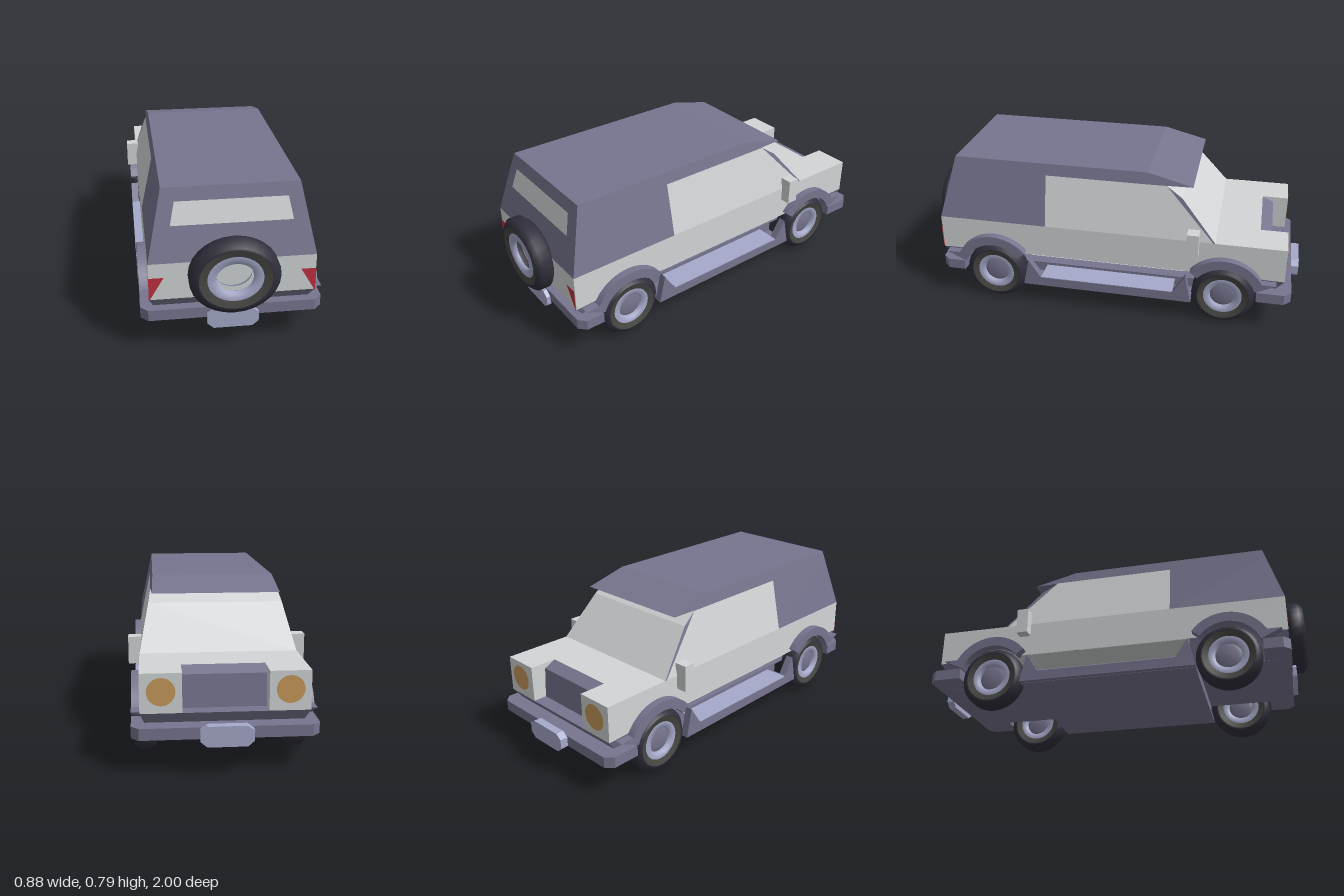
import * as THREE from 'three';

const mat = (name, color) => new THREE.MeshStandardMaterial({ name, color, side: THREE.DoubleSide });

export function createModel() {
  const root = new THREE.Group();
  root.name = 'offRoadVan';
  const pale = mat('paleBody', 0xd2d6d7);
  const trim = mat('slateTrim', 0x77758f);
  const lilac = mat('lilacMetal', 0xa6a9ca);
  const black = mat('tireBlack', 0x302f3c);
  const grey = mat('sidewallGrey', 0x464643);
  const red = mat('tailRed', 0xc03040);
  const amber = mat('lampAmber', 0xc99a5c);

  const add = (name, geo, m, parent = root) => {
    const mesh = new THREE.Mesh(geo, m);
    mesh.name = name;
    parent.add(mesh);
    return mesh;
  };
  // Flat panels from three- or four-cornered faces
  const panels = (name, m, faces) => {
    const pos = [];
    for (const f of faces) {
      for (let i = 1; i < f.length - 1; i++) pos.push(...f[0], ...f[i], ...f[i + 1]);
    }
    const g = new THREE.BufferGeometry();
    g.setAttribute('position', new THREE.Float32BufferAttribute(pos, 3));
    g.computeVertexNormals();
    return add(name, g, m);
  };
  // Strip across the model: rows of [half width, y, z]
  const strip = (name, m, rows) => panels(name, m, rows.slice(1).map(([w, y, z], i) => {
    const [v, b, c] = rows[i];
    return [[-v, b, c], [v, b, c], [w, y, z], [-w, y, z]];
  }));
  const box = (name, m, x0, x1, y0, y1, z0, z1) => add(name,
    new THREE.BoxGeometry(x1 - x0, y1 - y0, z1 - z0)
      .translate((x0 + x1) / 2, (y0 + y1) / 2, (z0 + z1) / 2), m);
  const poly = (pts) => new THREE.Shape(pts.map(([x, y]) => new THREE.Vector2(x, y)));
  const extrude = (shape, depth) =>
    new THREE.ExtrudeGeometry(shape, { depth, bevelEnabled: false, curveSegments: 12 });

  const wallX = (y) => 0.385 - 0.07 * (y - 0.46) / 0.33;
  const rearZ = (y) => 0.91 - 0.09 * (y - 0.46) / 0.33;
  const AZ = 0.615, AY = 0.165;

  // Lower body side with wheel arch cut-outs, drawn in (z, y)
  const side = new THREE.Shape();
  side.moveTo(-0.92, 0.46);
  side.lineTo(0.91, 0.46);
  side.lineTo(0.91, 0.275);
  for (const c of [AZ, -AZ]) side.absarc(c, AY, 0.19, 0.65, Math.PI - 0.65, false);
  side.lineTo(-0.92, 0.275);

  // Arch flare, with a tail that meets the bumper
  const flare = new THREE.Shape();
  flare.moveTo(0.86, 0.22);
  flare.absarc(AZ, AY, 0.17, 0.33, Math.PI - 0.66, false);
  flare.absarc(AZ, AY, 0.22, Math.PI - 0.66, 0.5, true);
  flare.lineTo(0.88, 0.27);

  const sill = poly([[0.453, 0.115], [0.42, 0.265], [0.357, 0.166],
    [-0.357, 0.166], [-0.42, 0.265], [-0.453, 0.115]]);

  for (const s of [1, -1]) {
    const n = s > 0 ? 'left' : 'right';
    const wall = (z, y) => [s * wallX(y), y, z];
    const P = (x, y, z) => [s * x, y, z];
    add(n + 'LowerSide', new THREE.ShapeGeometry(side, 12)
      .rotateY(-Math.PI / 2).translate(s * 0.385, 0, 0), pale);
    // Cabin sides
    panels(n + 'CabinSide', pale,
      [[wall(0.33, 0.46), wall(-0.55, 0.46), wall(-0.30, 0.73), wall(0.33, 0.73)]]);
    panels(n + 'RearQuarter', trim, [
      [wall(0.33, 0.46), wall(0.91, 0.46), wall(rearZ(0.73), 0.73), wall(0.33, 0.73)],
      [wall(rearZ(0.73), 0.73), wall(0.82, 0.79), wall(-0.2, 0.79), wall(-0.2, 0.73)],
      [wall(-0.2, 0.79), P(0.32, 0.73, -0.43), wall(-0.2, 0.73)]]);
    panels(n + 'Pillar', trim,
      [[wall(-0.30, 0.73), wall(-0.38, 0.675), wall(-0.56, 0.46), wall(-0.55, 0.46)]]);
    // Headlight housing and lamp
    panels(n + 'HeadlightHousing', pale, [
      [P(0.195, 0.46, -0.78), P(0.385, 0.46, -0.78), P(0.385, 0.46, -0.92), P(0.195, 0.46, -0.92)],
      [P(0.195, 0.275, -0.92), P(0.385, 0.275, -0.92), P(0.385, 0.46, -0.92), P(0.195, 0.46, -0.92)],
      [P(0.195, 0.275, -0.78), P(0.195, 0.275, -0.92), P(0.195, 0.46, -0.92), P(0.195, 0.46, -0.78)]]);
    add(n + 'Headlight', new THREE.CircleGeometry(0.065, 24)
      .rotateY(Math.PI).translate(s * 0.29, 0.375, -0.924), amber);
    // Lower skirt ends beside the bumpers
    panels(n + 'Skirt', trim, [
      [P(0.385, 0.275, 0.91), P(0.385, 0.275, 0.78), P(0.365, 0.22, 0.78), P(0.365, 0.22, 0.87)],
      [P(0.385, 0.275, -0.92), P(0.385, 0.275, -0.78), P(0.365, 0.22, -0.78), P(0.365, 0.22, -0.88)]]);
    panels(n + 'TailLight', red,
      [[P(0.385, 0.39, 0.914), P(0.315, 0.39, 0.914), P(0.385, 0.27, 0.914)]]);
    // Running board
    add(n + 'Sill', extrude(sill, 0.04).rotateY(-Math.PI / 2)
      .translate(s > 0 ? 0.425 : -0.385, 0, 0), trim);
    const xs = [s * 0.3, s * 0.425].sort((a, b) => a - b);
    box(n + 'RunningBoard', lilac, xs[0], xs[1], 0.164, 0.169, -0.355, 0.355);
    const mx = [s * 0.375, s * 0.44].sort((a, b) => a - b);
    box(n + 'Mirror', pale, mx[0], mx[1], 0.39, 0.525, -0.48, -0.42);
    for (const e of [1, -1]) {
      const f = add(n + (e > 0 ? 'Rear' : 'Front') + 'Flare', extrude(flare, 0.05)
        .rotateY(-Math.PI / 2).translate(s > 0 ? 0.425 : -0.375, 0, 0), trim);
      f.scale.z = e;
    }
  }

  // Roof, windscreen, rear and nose
  strip('roof', trim, [[0.315, 0.79, 0.82], [0.315, 0.79, -0.2], [0.32, 0.73, -0.43], [0.32, 0.73, -0.2]]);
  strip('windscreen', pale, [[0.385, 0.46, -0.56], [wallX(0.675), 0.675, -0.38], [wallX(0.73), 0.73, -0.30]]);
  strip('rearUpper', trim, [[0.385, 0.46, 0.91], [0.315, 0.79, 0.82]]);
  strip('rearWindow', pale, [[0.279, 0.625, rearZ(0.625) + 0.005], [0.257, 0.73, rearZ(0.73) + 0.005]]);
  strip('rearLower', pale, [[0.385, 0.46, 0.91], [0.385, 0.275, 0.91]]);
  strip('hood', pale, [[0.385, 0.46, -0.56], [0.385, 0.46, -0.78]]);
  strip('grille', trim, [[0.195, 0.46, -0.78], [0.195, 0.43, -0.84], [0.195, 0.275, -0.85], [0.195, 0.275, -0.92]]);
  strip('rearSkirt', trim, [[0.385, 0.275, 0.91], [0.365, 0.22, 0.87]]);
  strip('frontSkirt', trim, [[0.385, 0.275, -0.92], [0.365, 0.22, -0.88]]);
  strip('bodyUnderside', pale, [[0.384, 0.277, 0.41], [0.384, 0.277, -0.41]]);

  // Chassis
  box('floorPan', trim, -0.28, 0.28, 0.115, 0.168, -0.45, 0.45);
  box('floorPlate', trim, -0.4, 0.4, 0.113, 0.117, -0.45, 0.45);
  box('chassisPlate', trim, -0.28, 0.28, 0.164, 0.17, -0.9, 0.85);

  // Bumpers with cut corners, and plates
  const bumper = (name, z0, z1) => {
    const c = z1 - Math.sign(z1) * 0.035;
    add(name, extrude(poly([[-0.425, z0], [-0.425, c], [-0.39, z1], [0.39, z1], [0.425, c], [0.425, z0]]), 0.055)
      .rotateX(Math.PI / 2).translate(0, 0.22, 0), trim);
  };
  bumper('rearBumper', 0.785, 0.915);
  bumper('frontBumper', -0.785, -0.96);
  const plate = poly([[-0.12, 0.025], [-0.09, 0.048], [0.09, 0.048], [0.12, 0.025],
    [0.12, -0.022], [0.09, -0.048], [-0.09, -0.048], [-0.12, -0.022]]);
  add('rearPlate', extrude(plate, 0.022).translate(0, 0.163, 0.913), lilac);
  add('frontPlate', extrude(plate, 0.04).translate(0, 0.188, -1), lilac);

  // Wheels, turned around y and then laid over
  const lathe = (pts) => new THREE.LatheGeometry(pts.map(([r, h]) => new THREE.Vector2(r, h)), 28);
  const wheel = (name, withHub) => {
    const g = new THREE.Group();
    g.name = name;
    add('tire', lathe([[0.128, -0.05], [0.14, -0.0525], [0.163, -0.025],
      [0.163, 0.025], [0.14, 0.0525], [0.128, 0.05]]), black, g);
    for (const e of [1, -1]) {
      add('sidewall', lathe([[0.13, e * 0.051], [0.1, e * 0.042]]), grey, g);
      add('rim', lathe([[0.1, e * 0.042], [0.07, e * 0.044], [0.066, e * 0.02]]), lilac, g);
      if (withHub) add('hub', lathe([[0.066, e * 0.022], [0.045, e * 0.03], [0, e * 0.032]]), trim, g);
    }
    root.add(g);
    return g;
  };
  for (const s of [1, -1]) {
    for (const e of [1, -1]) {
      const w = wheel((s > 0 ? 'left' : 'right') + (e > 0 ? 'Rear' : 'Front') + 'Wheel', true);
      w.rotation.z = Math.PI / 2;
      w.position.set(s * 0.3625, 0.163, e * AZ);
    }
  }
  const spare = wheel('spareWheel', false);
  spare.rotation.x = Math.PI / 2;
  spare.scale.set(1.28, 0.95, 1.135);
  spare.position.set(0, 0.405, 0.95);

  return root;
}
